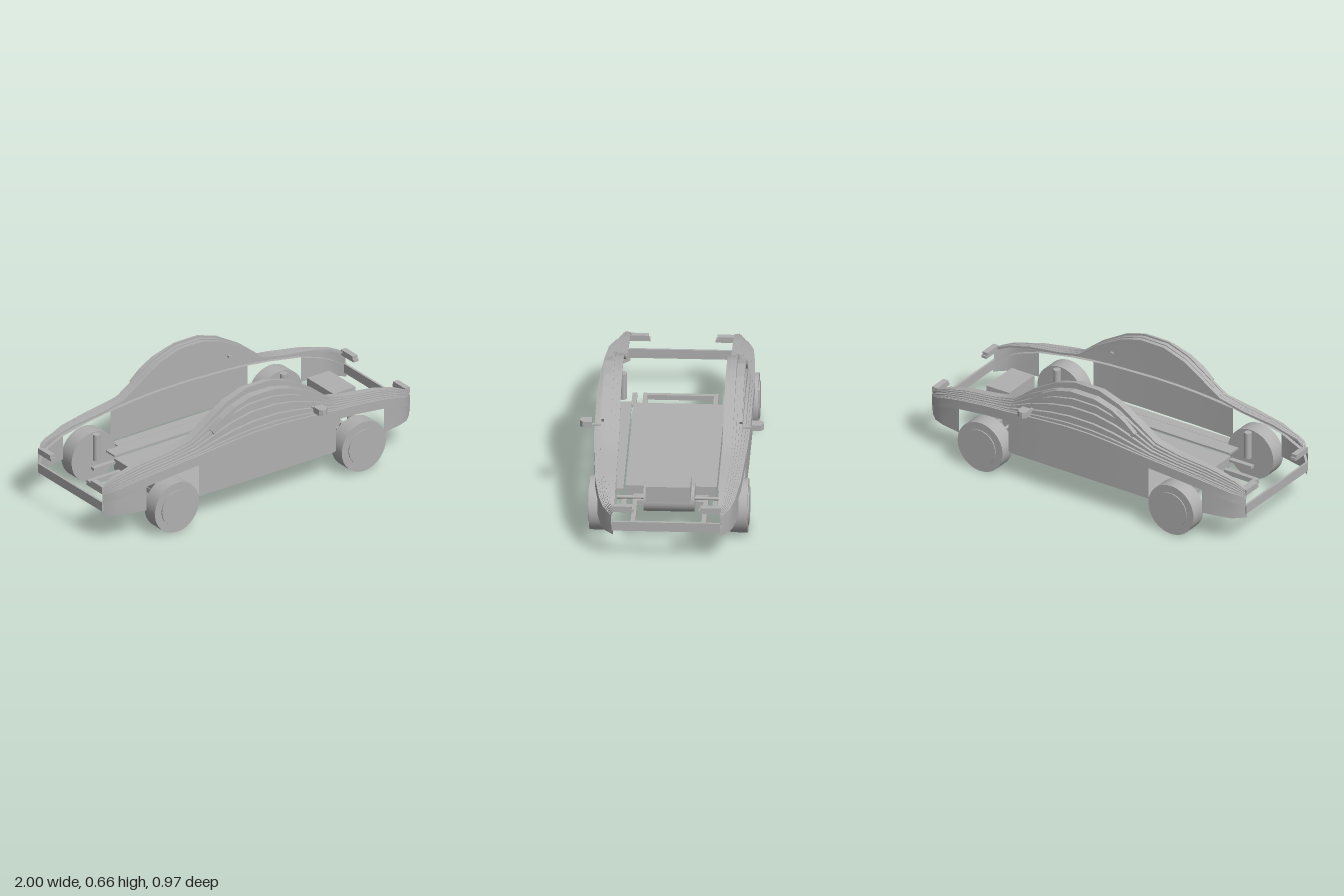
import * as THREE from 'three';

const grey = new THREE.MeshStandardMaterial({ color: 0xb0b0b0, side: THREE.DoubleSide });
grey.name = 'plain grey';

// body stations: x, shoulder height, roof line height, half width
const stations = [
  [-1, 0.275, 0.31, 0.288], [-0.94, 0.31, 0.36, 0.345], [-0.78, 0.35, 0.4, 0.38],
  [-0.6, 0.375, 0.42, 0.395], [-0.45, 0.39, 0.453, 0.403], [-0.31, 0.4, 0.55, 0.408],
  [-0.22, 0.405, 0.61, 0.41], [-0.09, 0.41, 0.656, 0.41], [0.06, 0.41, 0.656, 0.41],
  [0.18, 0.405, 0.62, 0.41], [0.33, 0.4, 0.533, 0.408], [0.45, 0.393, 0.437, 0.403],
  [0.57, 0.383, 0.41, 0.395], [0.76, 0.355, 0.385, 0.382], [0.89, 0.32, 0.352, 0.358],
  [0.95, 0.295, 0.325, 0.335], [1, 0.265, 0.3, 0.288],
];

// body values at any x
function bodyAt(x) {
  let i = 1;
  while (i < stations.length - 1 && stations[i][0] < x) i++;
  const a = stations[i - 1], b = stations[i];
  const t = (x - a[0]) / (b[0] - a[0]);
  return { base: a[1] + (b[1] - a[1]) * t, top: a[2] + (b[2] - a[2]) * t, half: a[3] + (b[3] - a[3]) * t };
}

const INNER = 0.272;

// lengthwise sheet between two edges; each edge maps body values to [y, z]
function sheet(edgeA, edgeB, x0 = -1, x1 = 1) {
  const xs = [x0, ...stations.map(s => s[0]).filter(x => x > x0 && x < x1), x1];
  const pos = [], index = [];
  xs.forEach((x, i) => {
    const b = bodyAt(x);
    for (const edge of [edgeA, edgeB]) {
      const [y, z] = edge(b);
      pos.push(x, y, z);
    }
    if (i) {
      const k = 2 * i;
      index.push(k - 2, k, k - 1, k, k + 1, k - 1);
    }
  });
  const g = new THREE.BufferGeometry();
  g.setAttribute('position', new THREE.Float32BufferAttribute(pos, 3));
  g.setIndex(index);
  g.computeVertexNormals();
  return g;
}

function add(parent, name, geometry, x = 0, y = 0, z = 0) {
  const m = new THREE.Mesh(geometry, grey);
  m.name = name;
  m.position.set(x, y, z);
  parent.add(m);
  return m;
}

// box given by its limits
function box(parent, name, x0, x1, y0, y1, z0, z1) {
  return add(parent, name, new THREE.BoxGeometry(x1 - x0, y1 - y0, z1 - z0),
    (x0 + x1) / 2, (y0 + y1) / 2, (z0 + z1) / 2);
}

function cylinderZ(parent, name, r, x, y, z0, z1, sides = 40) {
  const g = new THREE.CylinderGeometry(r, r, z1 - z0, sides).rotateX(Math.PI / 2);
  return add(parent, name, g, x, y, (z0 + z1) / 2);
}

// everything on the +z side of the car
function buildSide() {
  const side = new THREE.Group();

  // stepped planks: [fraction of the way inward, fraction of the way up]
  const steps = [[0, 0], [0.08, 0.08], [0.16, 0.15], [0.27, 0.29], [0.38, 0.49],
    [0.48, 0.66], [0.6, 0.86], [0.68, 1], [0.84, 0.96], [1, 0.94]];
  const edge = (inward, up) => b => [
    b.base + (b.top - b.base) * up, b.half + (INNER - b.half) * inward];
  for (let i = 1; i < steps.length; i++) {
    const [t0, f0] = steps[i - 1], [t1, f1] = steps[i];
    add(side, 'plankRiser', sheet(edge(t0, f0), edge(t0, f1)));
    add(side, 'plankTread', sheet(edge(t0, f1), edge(t1, f1)));
  }
  const innerTop = edge(1, 0.94);
  add(side, 'innerLip', sheet(innerTop, b => [innerTop(b)[0] - 0.012, INNER]));

  // rim under the planks and the side panels
  const wallZ = b => b.half - 0.01;
  const rimLow = b => b.base - 0.05;
  add(side, 'rim', sheet(b => [rimLow(b), b.half], b => [b.base, b.half]));
  add(side, 'rimUnderside', sheet(b => [rimLow(b), b.half], b => [rimLow(b), wallZ(b) - 0.01]));
  for (const [x0, x1] of [[-1, -0.775], [-0.45, 0.44], [0.77, 1]])
    add(side, 'sidePanel', sheet(b => [0.157, wallZ(b)], b => [rimLow(b), wallZ(b)], x0, x1));
  box(side, 'sill', -0.53, 0.47, 0.146, 0.156, 0.248, 0.33);
  box(side, 'sillOuter', -0.45, 0.44, 0.146, 0.157, 0.33, 0.385);

  // curved strip over the side window
  const arch = [[-0.345, 0.49], [-0.28, 0.545], [-0.2, 0.59], [-0.09, 0.622],
    [0.06, 0.622], [0.16, 0.597], [0.25, 0.55], [0.325, 0.49]];
  const shape = new THREE.Shape();
  arch.forEach(([x, y], i) => (i ? shape.lineTo(x, y) : shape.moveTo(x, y)));
  [...arch].reverse().forEach(([x, y]) => shape.lineTo(x * 0.96, y - 0.022));
  add(side, 'windowStrip',
    new THREE.ExtrudeGeometry(shape, { depth: 0.042, bevelEnabled: false }), 0, 0, 0.328);

  // wheels, hub discs, posts and arms
  for (const x of [-0.61, 0.605]) {
    cylinderZ(side, 'wheel', 0.143, x, 0.143, 0.325, 0.416, 48);
    cylinderZ(side, 'hubDisc', 0.1, x, 0.143, 0.416, 0.422, 40);
    add(side, 'suspensionPost', new THREE.CylinderGeometry(0.02, 0.02, 0.15, 20), x, 0.21, 0.298);
    box(side, 'suspensionArm', x - 0.07, x + 0.07, 0.118, 0.133, 0.226, 0.252);
  }
  cylinderZ(side, 'driveShaft', 0.009, 0.585, 0.168, 0.13, 0.33, 16);

  // lamp shelves at both ends
  for (const s of [-1, 1]) {
    const [a, b] = s > 0 ? [0.968, 1] : [-1, -0.968];
    box(side, 'lampShelf', a, b, 0.29, 0.305, 0.172, 0.285);
    box(side, 'lampTop', a, b, 0.305, 0.322, 0.18, 0.285);
  }

  // wing mirror
  box(side, 'mirrorStem', 0.295, 0.31, 0.44, 0.45, 0.36, 0.425);
  const mirror = new THREE.Shape();
  [[0.275, 0.42], [0.33, 0.42], [0.33, 0.468], [0.31, 0.484], [0.29, 0.484], [0.275, 0.468]]
    .forEach(([x, z], i) => (i ? mirror.lineTo(x, -z) : mirror.moveTo(x, -z)));
  add(side, 'mirror', new THREE.ExtrudeGeometry(mirror, { depth: 0.034, bevelEnabled: false })
    .rotateX(-Math.PI / 2), 0, 0.44, 0);
  return side;
}

// open rectangular frame lying flat
function buildFrame(parent, name, x0, x1) {
  const s = new THREE.Shape([[x0, -0.198], [x1, -0.198], [x1, 0.198], [x0, 0.198]]
    .map(p => new THREE.Vector2(...p)));
  const w = 0.024;
  s.holes.push(new THREE.Path([[x0 + w, -0.174], [x0 + w, 0.174], [x1 - w, 0.174], [x1 - w, -0.174]]
    .map(p => new THREE.Vector2(...p))));
  add(parent, name, new THREE.ExtrudeGeometry(s, { depth: 0.028, bevelEnabled: false })
    .rotateX(-Math.PI / 2), 0, 0.07, 0);
}

export function createModel() {
  const car = new THREE.Group();
  car.name = 'car';

  const left = buildSide();
  left.name = 'sideA';
  const right = buildSide();
  right.name = 'sideB';
  right.scale.z = -1;
  car.add(left, right);

  // floor and end frames
  box(car, 'floor', -0.54, 0.41, 0.082, 0.146, -0.24, 0.24);
  buildFrame(car, 'frontFrame', 0.465, 0.745);
  buildFrame(car, 'rearFrame', -0.75, -0.52);
  box(car, 'frameLink', 0.4, 0.47, 0.07, 0.098, -0.198, 0.198);

  // bumper bars
  box(car, 'frontBumper', 0.988, 1, 0.18, 0.232, -0.285, 0.285);
  box(car, 'rearBumper', -1, -0.988, 0.18, 0.232, -0.285, 0.285);

  // motor and control box
  cylinderZ(car, 'motor', 0.074, 0.585, 0.171, -0.134, 0.134, 40);
  box(car, 'controlBox', 0.625, 0.77, 0.235, 0.324, -0.117, 0.117);
  return car;
}
